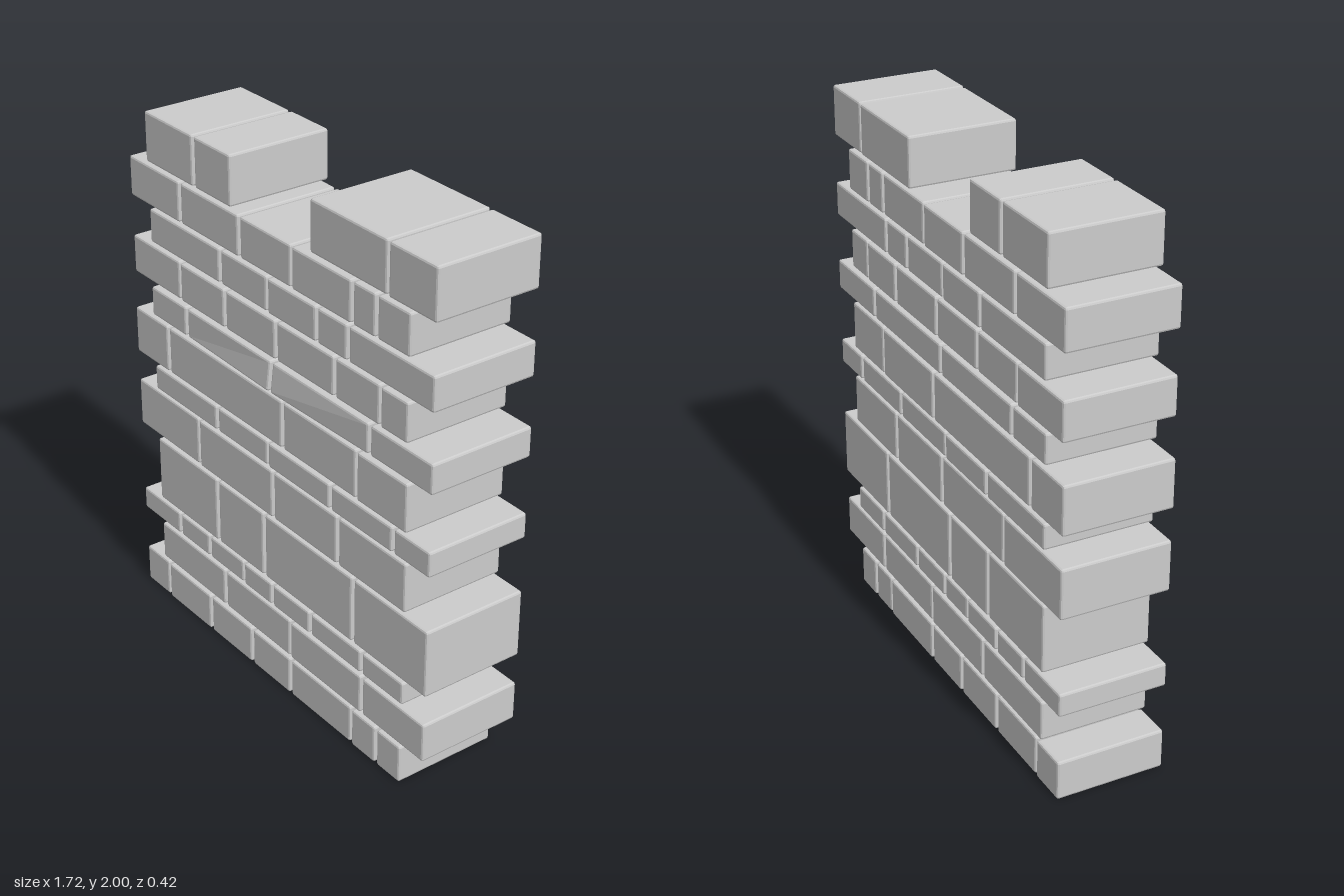
import * as THREE from 'three';
import { RoundedBoxGeometry } from 'three/addons/geometries/RoundedBoxGeometry.js';

const GAP = 0.013, BEVEL = 0.008, FRONT = 0.203, BACK = -0.207;

// Each course: bottom, top, then the joints from one end to the other
const courses = [
  [0, 0.15, [-0.86, -0.705, -0.413, -0.143, 0.097, 0.458, 0.6, 0.73]],
  [0.166, 0.318, [-0.74, -0.313, 0.097, 0.516, 0.853]],
  [0.332, 0.421, [-0.86, -0.61, -0.413, -0.19, -0.01, 0.217, 0.51, 0.735]],
  [0.435, 0.695, [-0.74, -0.348, -0.057, 0.46, 0.855]],
  [0.708, 0.897, [-0.862, -0.462, 0.002, 0.374, 0.738]],
  [0.907, 1.003, [-0.743, -0.34, -0.028, 0.333, 0.67, 0.857]],
  [1.016, 1.199, [-0.862, -0.645, 0.06, 0.473, 0.738]],
  [1.214, 1.327, [-0.743, -0.517, 0, 0.538, 0.857]],
  [1.345, 1.491, [-0.857, -0.552, -0.272, 0.028, 0.352, 0.592, 0.733]],
  [1.506, 1.634, [-0.738, -0.298, -0.02, 0.257, 0.423, 0.855]],
  [1.647, 1.799, [-0.857, -0.538, -0.18, 0.118, 0.444, 0.567, 0.733]],
  [1.813, 2, [-0.743, -0.443, -0.225]],
  [1.813, 2, [0.22, 0.62, 0.857]],
];

const material = new THREE.MeshStandardMaterial({ color: 0xcccccc, flatShading: true });

// Block with chamfered edges filling the given extents
function makeBlock(x0, x1, y0, y1, z0, z1) {
  const geometry = new RoundedBoxGeometry(x1 - x0, y1 - y0, z1 - z0, 1, BEVEL);
  geometry.translate((x0 + x1) / 2, (y0 + y1) / 2, (z0 + z1) / 2);
  return geometry;
}

// Pull the lower front edge outward towards the middle of the wall
function bulge(geometry, yMid) {
  const p = geometry.attributes.position;
  for (let i = 0; i < p.count; i++) {
    if (p.getZ(i) > 0 && p.getY(i) < yMid && Math.abs(p.getX(i)) < 0.1) p.setZ(i, p.getZ(i) + 0.011);
  }
}

export function createModel() {
  const wall = new THREE.Group();
  wall.name = 'stoneWall';
  courses.forEach(([y0, y1, joints], row) => {
    const course = new THREE.Group();
    course.name = `course${row + 1}`;
    const last = joints.length - 2;
    for (let i = 0; i <= last; i++) {
      const x0 = joints[i] + (i > 0 ? GAP / 2 : 0);
      const x1 = joints[i + 1] - (i < last ? GAP / 2 : 0);
      // Faces vary very slightly from block to block
      const shift = (((row * 5 + i * 3) % 4) - 1.5) * 0.001;
      const geometry = makeBlock(x0, x1, y0, y1, BACK + shift, FRONT + shift);
      if (row === 7) bulge(geometry, (y0 + y1) / 2);
      const block = new THREE.Mesh(geometry, material);
      block.name = `block${i + 1}`;
      course.add(block);
    }
    wall.add(course);
  });
  return wall;
}
